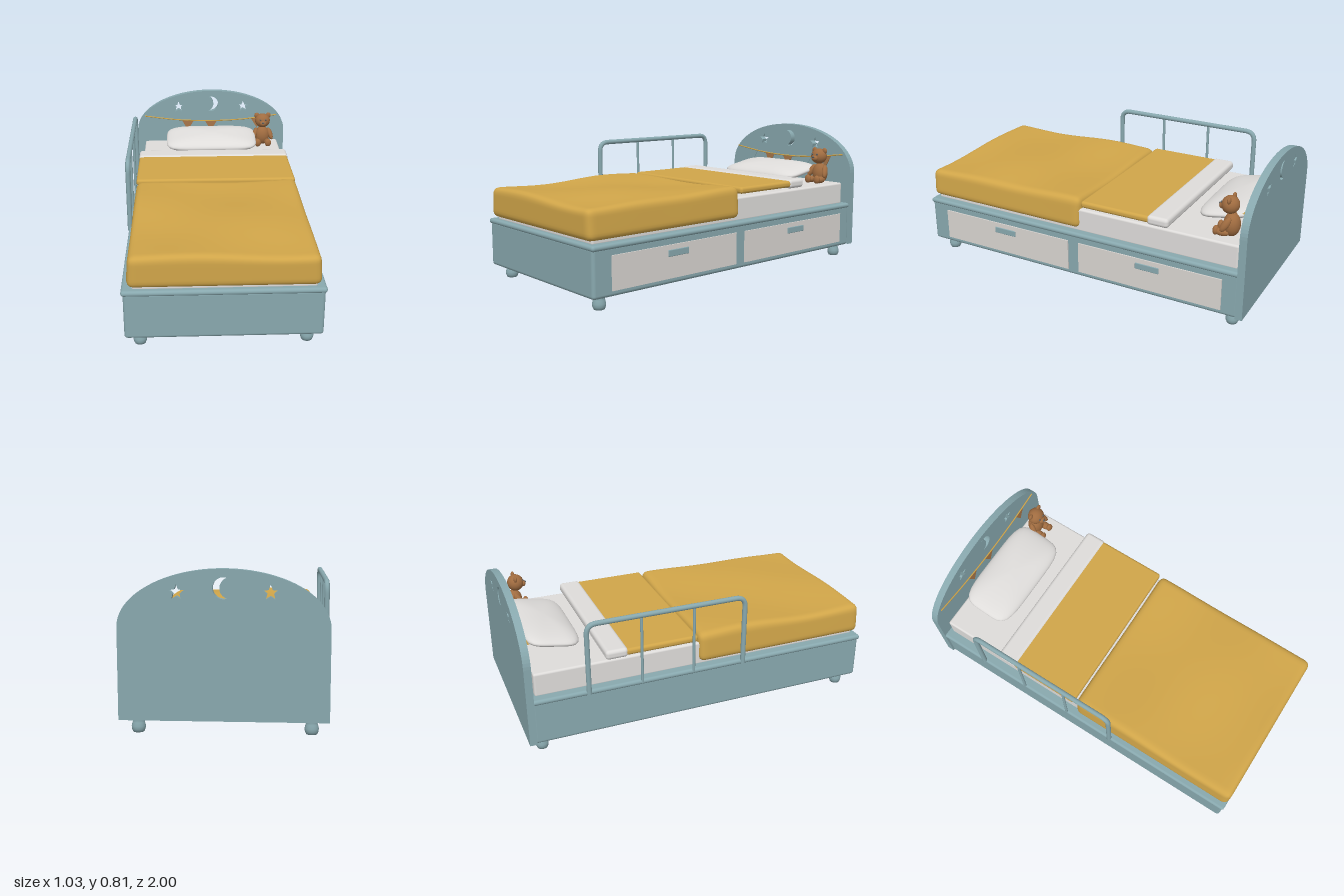
import * as THREE from 'three';
import { mergeVertices } from 'three/addons/utils/BufferGeometryUtils.js';
import { RoundedBoxGeometry } from 'three/addons/geometries/RoundedBoxGeometry.js';

const material = (name, color) => Object.assign(new THREE.MeshStandardMaterial({ color }), { name });

export function createModel() {
  const model = new THREE.Group();
  model.name = 'childBed';
  const blue = material('dustyBluePaint', 0x88a8ae);
  const white = material('whiteLinen', 0xdedcda);
  const cream = material('drawerWhite', 0xd8d4d0);
  const yellow = material('mustardFabric', 0xd0a549);
  const brown = material('bearBrown', 0xa06c40);
  const flagBrown = material('flagBrown', 0xa8764a);
  const dark = material('faceGrey', 0x5f6264);

  const add = (name, geometry, mat, x = 0, y = 0, z = 0, parent = model) => {
    const mesh = new THREE.Mesh(geometry, mat);
    mesh.name = name;
    mesh.position.set(x, y, z);
    parent.add(mesh);
    return mesh;
  };
  // Rounded box given by its limits on each axis
  const block = (name, mat, [x0, x1], [y0, y1], [z0, z1], r) =>
    add(name, new RoundedBoxGeometry(x1 - x0, y1 - y0, z1 - z0, 3, r), mat,
      (x0 + x1) / 2, (y0 + y1) / 2, (z0 + z1) / 2);
  // Move every vertex by a rule, then weld and smooth
  const deform = (geometry, rule) => {
    const p = geometry.attributes.position, v = new THREE.Vector3();
    for (let i = 0; i < p.count; i++) {
      rule(v.fromBufferAttribute(p, i));
      p.setXYZ(i, v.x, v.y, v.z);
    }
    geometry.deleteAttribute('uv');
    geometry.deleteAttribute('normal');
    const welded = mergeVertices(geometry, 1e-5);
    welded.computeVertexNormals();
    return welded;
  };

  // Base with a rounded top rim
  block('base', blue, [-0.497, 0.503], [0.07, 0.325], [-0.97, 0.995], 0.018);
  block('baseRim', blue, [-0.507, 0.511], [0.308, 0.338], [-0.97, 1], 0.0149);

  // Turned feet
  const footProfile = [[0, 0], [0.028, 0], [0.034, 0.015], [0.035, 0.03], [0.03, 0.048], [0.027, 0.06], [0.031, 0.075]]
    .map(([r, y]) => new THREE.Vector2(r, y));
  for (const x of [-0.423, 0.43]) for (const z of [-0.92, 0.91])
    add('foot', new THREE.LatheGeometry(footProfile, 24), blue, x, 0, z);

  // Drawers on one side
  for (const z of [-0.455, 0.46]) {
    add('drawerFront', new THREE.BoxGeometry(0.02, 0.178, 0.848), cream, 0.5, 0.19, z);
    block('drawerHandle', blue, [0.506, 0.514], [0.217, 0.253], [z - 0.07, z + 0.07], 0.0038);
  }

  // Arched headboard with moon and star cut-outs
  const board = new THREE.Shape();
  board.moveTo(-0.507, 0.075);
  board.lineTo(0.515, 0.075);
  board.lineTo(0.515, 0.53);
  board.absellipse(0.004, 0.53, 0.511, 0.282, 0, Math.PI, false, 0);
  board.closePath();
  // The moon's inner arc meets the outer arc exactly at both tips
  const moon = new THREE.Path();
  const tip = 110 * Math.PI / 180;
  const tipX = 0.032 + 0.052 * Math.cos(tip), tipY = 0.052 * Math.sin(tip);
  const innerTip = Math.atan2(tipY, tipX);
  moon.absarc(0.003, 0.72, 0.052, -tip, tip, false);
  moon.absarc(-0.029, 0.72, Math.hypot(tipX, tipY), innerTip, -innerTip, true);
  board.holes.push(moon);
  for (const x of [-0.22, 0.227]) {
    const points = [];
    for (let i = 0; i < 10; i++) {
      const a = Math.PI / 2 + i * Math.PI / 5, r = i % 2 ? 0.017 : 0.039;
      points.push(new THREE.Vector2(x + r * Math.cos(a), 0.699 + r * Math.sin(a)));
    }
    board.holes.push(new THREE.Path(points));
  }
  add('headboard', new THREE.ExtrudeGeometry(board, { depth: 0.04, bevelEnabled: false, curveSegments: 24 }), blue, 0, 0, -1);

  // Bunting: sagging cord with triangular flags
  const sag = x => 0.602 + 0.038 * (x / 0.455) ** 2;
  const cord = [-0.455, -0.23, 0, 0.23, 0.46].map(x => new THREE.Vector3(x, sag(x), -0.95));
  add('buntingCord', new THREE.TubeGeometry(new THREE.CatmullRomCurve3(cord), 40, 0.004, 8), yellow);
  [-0.315, -0.157, 0.004, 0.165, 0.325].forEach((x, i) => {
    const flag = new THREE.Shape([
      new THREE.Vector2(x - 0.042, sag(x - 0.042)),
      new THREE.Vector2(x, sag(x) - 0.072),
      new THREE.Vector2(x + 0.042, sag(x + 0.042))]);
    add('buntingFlag', new THREE.ExtrudeGeometry(flag, { depth: 0.004, bevelEnabled: false }),
      i % 3 ? flagBrown : blue, 0, 0, -0.954);
  });

  // Mattress and folded bedding
  block('mattress', white, [-0.453, 0.465], [0.33, 0.465], [-0.943, 0.97], 0.012);
  block('foldedBlanket', yellow, [-0.473, 0.478], [0.482, 0.52], [-0.45, -0.03], 0.016);
  block('sheetFold', white, [-0.475, 0.482], [0.474, 0.527], [-0.557, -0.432], 0.02);

  // Wavy duvet with rounded edges
  const half = new THREE.Vector3(0.482, 0.084, 0.51), r = 0.035;
  const inner = half.clone().subScalar(r), outer = inner.clone().negate();
  const duvet = deform(new THREE.BoxGeometry(half.x * 2, half.y * 2, half.z * 2, 56, 12, 56), v => {
    const core = v.clone().clamp(outer, inner);
    v.sub(core).setLength(r).add(core);
    const t = (v.y + half.y) / (2 * half.y);
    v.x *= 1 - 0.022 * t;
    v.y += t * t * (0.007 * Math.sin(7 * v.x + 5 * v.z) + 0.005 * Math.cos(9 * v.z - 4 * v.x));
  });
  add('duvet', duvet, yellow, 0.003, 0.434, 0.489);

  // Pillow: flattened sphere with a squared outline
  const pillow = deform(new THREE.SphereGeometry(1, 48, 24), v => {
    const a = Math.atan2(v.z, v.x);
    const k = (Math.abs(Math.cos(a)) ** 5 + Math.abs(Math.sin(a)) ** 5) ** -0.2;
    v.set(v.x * k * 0.302, v.y * 0.05, v.z * k * 0.155);
  });
  add('pillow', pillow, white, 0, 0.528, -0.78).rotation.x = 0.18;

  // Guard rail
  const V = (y, z) => new THREE.Vector3(-0.501, y, z);
  const path = new THREE.CurvePath();
  path.add(new THREE.LineCurve3(V(0.315, 0.228), V(0.665, 0.228)));
  path.add(new THREE.QuadraticBezierCurve3(V(0.665, 0.228), V(0.721, 0.228), V(0.721, 0.172)));
  path.add(new THREE.LineCurve3(V(0.721, 0.172), V(0.721, -0.609)));
  path.add(new THREE.QuadraticBezierCurve3(V(0.721, -0.609), V(0.721, -0.665), V(0.665, -0.665)));
  path.add(new THREE.LineCurve3(V(0.665, -0.665), V(0.315, -0.665)));
  add('guardRail', new THREE.TubeGeometry(path, 120, 0.014, 12), blue);
  for (const z of [-0.07, -0.368])
    add('guardRailPost', new THREE.CylinderGeometry(0.008, 0.008, 0.4, 12), blue, -0.501, 0.52, z);

  // Seated teddy bear
  const bear = new THREE.Group();
  bear.name = 'teddyBear';
  bear.position.set(0.355, 0.463, -0.855);
  model.add(bear);
  const ball = (name, mat, x, y, z, rx, ry, rz) => {
    const mesh = add(name, new THREE.SphereGeometry(1, 24, 16), mat, x, y, z, bear);
    mesh.scale.set(rx, ry, rz);
    return mesh;
  };
  ball('bearBody', brown, 0, 0.06, -0.005, 0.05, 0.065, 0.045);
  ball('bearHead', brown, 0, 0.168, 0.008, 0.051, 0.048, 0.047);
  ball('bearSnout', brown, 0, 0.157, 0.05, 0.023, 0.019, 0.018);
  ball('bearNose', dark, 0, 0.165, 0.066, 0.009, 0.006, 0.005);
  for (const s of [-1, 1]) {
    ball('bearEar', brown, s * 0.039, 0.203, 0.003, 0.018, 0.018, 0.01);
    ball('bearEye', dark, s * 0.018, 0.182, 0.05, 0.006, 0.006, 0.005);
    ball('bearArm', brown, s * 0.052, 0.075, 0.012, 0.017, 0.044, 0.02).rotation.set(-0.5, 0, s * 0.3);
    ball('bearLeg', brown, s * 0.034, 0.022, 0.035, 0.022, 0.021, 0.042);
    ball('bearFoot', brown, s * 0.035, 0.026, 0.068, 0.022, 0.026, 0.016);
  }
  return model;
}
